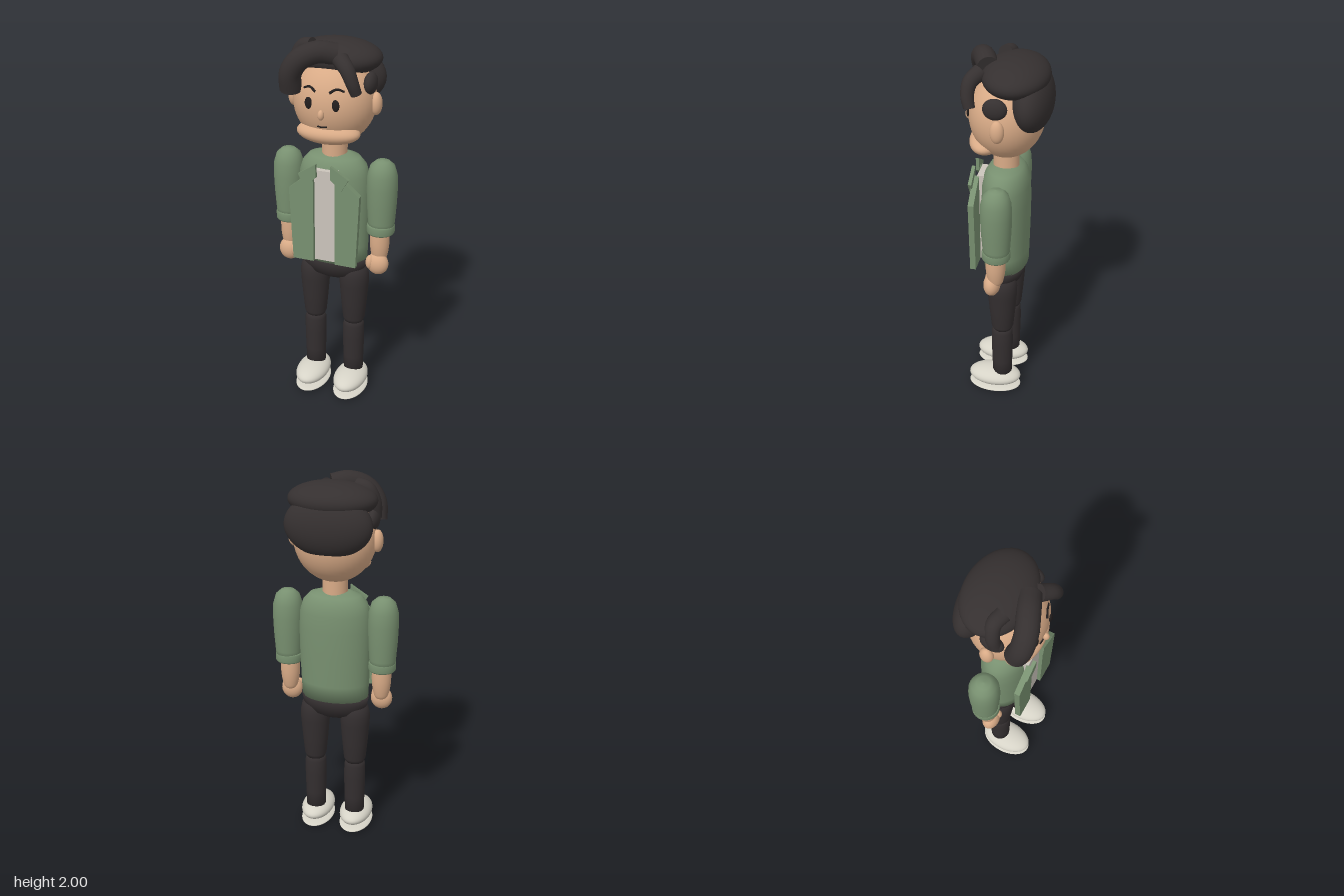
import * as THREE from 'three';

const mat = (name, color) => new THREE.MeshStandardMaterial({ name, color });

export function createModel() {
  const root = new THREE.Group();
  root.name = 'standingFigure';
  const skin = mat('skin', 0xd9ab87);
  const hair = mat('darkHair', 0x353030);
  const green = mat('greenJacket', 0x789070);
  const pants = mat('darkTrousers', 0x332e2f);
  const shirt = mat('paleShirt', 0xcbc4bb);
  const shoe = mat('offWhiteShoe', 0xd6d3c7);
  const ink = mat('faceInk', 0x221e1e);

  const add = (name, geo, material, pos = [0, 0, 0], scale = [1, 1, 1]) => {
    const m = new THREE.Mesh(geo, material);
    m.name = name;
    m.position.set(...pos);
    m.scale.set(...scale);
    root.add(m);
    return m;
  };
  const ball = new THREE.SphereGeometry(1, 40, 28);
  const blob = (name, material, pos, radii) => add(name, ball, material, pos, radii);
  // Smooth turned part; points run from bottom to top as [radius, y]
  const turned = (pts, smooth = true) => {
    let v = pts.map(p => new THREE.Vector2(...p));
    if (smooth) v = new THREE.SplineCurve(v).getPoints(36).map(p => new THREE.Vector2(Math.max(p.x, 0), p.y));
    return new THREE.LatheGeometry(v, 40);
  };
  // Capped tube along a curve, radius tapering from r0 to r1
  const strand = (name, material, pts, r0, r1, steps = 28, sides = 16) => {
    const curve = new THREE.CatmullRomCurve3(pts.map(p => new THREE.Vector3(...p)));
    const frames = curve.computeFrenetFrames(steps);
    const pos = [], idx = [];
    const corner = (i, j) => {
      const a = j / sides * Math.PI * 2, r = r0 + (r1 - r0) * i / steps;
      return curve.getPointAt(i / steps)
        .addScaledVector(frames.normals[i], Math.cos(a) * r)
        .addScaledVector(frames.binormals[i], Math.sin(a) * r);
    };
    for (let i = 0; i <= steps; i++) for (let j = 0; j < sides; j++) pos.push(...corner(i, j).toArray());
    for (let i = 0; i < steps; i++) for (let j = 0; j < sides; j++) {
      const k = (j + 1) % sides, a = i * sides + j, b = i * sides + k;
      idx.push(a, b, a + sides, b, b + sides, a + sides);
    }
    // Flat end caps with their own vertices
    for (const i of [0, steps]) {
      const base = pos.length / 3;
      for (let j = 0; j < sides; j++) pos.push(...corner(i, j).toArray());
      for (let j = 1; j < sides - 1; j++) {
        if (i) idx.push(base, base + j, base + j + 1);
        else idx.push(base, base + j + 1, base + j);
      }
    }
    const g = new THREE.BufferGeometry();
    g.setAttribute('position', new THREE.Float32BufferAttribute(pos, 3));
    g.setIndex(idx);
    g.computeVertexNormals();
    return add(name, g, material);
  };
  const plate = (name, material, pts, z, depth) => add(name, new THREE.ExtrudeGeometry(
    new THREE.Shape(pts.map(p => new THREE.Vector2(...p))), { depth, bevelEnabled: false }), material, [0, 0, z]);

  // Head
  const headR = [0.212, 0.225, 0.19], headY = 1.682;
  const faceZ = (x, y) => headR[2] * Math.sqrt(1 - (x / headR[0]) ** 2 - ((y - headY) / headR[1]) ** 2);
  blob('head', skin, [0, headY, 0.005], headR);
  blob('jaw', skin, [0, 1.537, 0.1], [0.165, 0.058, 0.092]);
  blob('nose', skin, [0, 1.655, 0.2], [0.016, 0.026, 0.018]);
  strand('mouth', ink, [[-0.024, 1.592, 0.184], [0, 1.589, 0.185], [0.024, 1.592, 0.184]], 0.004, 0.004, 8, 8);
  add('neck', new THREE.CylinderGeometry(0.066, 0.066, 0.12, 32), skin, [0, 1.43, 0.01]);

  // Hair: crown, back mass and swept strands
  blob('hairCrown', hair, [0, 1.888, -0.04], [0.226, 0.09, 0.165]);
  blob('hairBack', hair, [0, 1.775, -0.122], [0.224, 0.157, 0.103]).rotation.x = 0.08;
  strand('fringe', hair, [[0.04, 1.93, 0.09], [-0.04, 1.943, 0.125], [-0.12, 1.91, 0.158],
    [-0.17, 1.84, 0.162], [-0.18, 1.75, 0.14]], 0.054, 0.056);
  strand('frontLock', hair, [[0.07, 1.915, 0.12], [0.118, 1.88, 0.16], [0.147, 1.82, 0.168],
    [0.163, 1.765, 0.155]], 0.042, 0.028);
  strand('sideLock', hair, [[-0.105, 1.945, 0.035], [-0.16, 1.935, 0.02], [-0.195, 1.87, 0.03],
    [-0.2, 1.79, 0.045]], 0.04, 0.03);

  // Jacket body and shirt front
  add('jacketBody', turned([[0, 0.812], [0.18, 0.812], [0.184, 0.9], [0.19, 1.05], [0.193, 1.2],
    [0.187, 1.29], [0.17, 1.345], [0.135, 1.385], [0.08, 1.402], [0, 1.404]], false),
    green, [0, 0, 0.01], [1, 1, 0.65]);
  add('shirtFront', new THREE.BoxGeometry(0.124, 0.505, 0.05), shirt, [0, 1.09, 0.125]);
  // Hips
  add('hips', turned([[0, 0.69], [0.08, 0.692], [0.145, 0.72], [0.175, 0.765], [0.186, 0.818], [0, 0.82]], false),
    pants, [0, 0, 0.01], [1, 1, 0.585]);

  for (const s of [1, -1]) {
    const side = s > 0 ? 'left' : 'right';
    const flip = pts => pts.map(([x, y]) => [x * s, y]);

    // Face details
    blob(side + 'Eye', ink, [s * 0.07, 1.705, faceZ(0.07, 1.705) + 0.006], [0.019, 0.03, 0.009]);
    strand(side + 'Eyebrow', ink, [[0.036, 1.764], [0.07, 1.781], [0.104, 1.77]]
      .map(([x, y]) => [s * x, y, faceZ(x, y) + 0.006]), 0.007, 0.005, 12, 8);
    blob(side + 'Ear', skin, [s * 0.218, 1.68, 0.01], [0.029, 0.058, 0.035]);
    blob(side + 'Sideburn', hair, [s * 0.192, 1.785, 0.025], [0.032, 0.054, 0.06]);

    // Open jacket panel and collar flap
    plate(side + 'JacketPanel', green, flip([[0.058, 1.34], [0.125, 1.29], [0.19, 1.235], [0.172, 0.835], [0.058, 0.835]]), 0.14, 0.03);
    plate(side + 'Collar', green, flip([[0.04, 1.385], [0.135, 1.325], [0.1, 1.262], [0.038, 1.315]]), 0.163, 0.018);

    // Arm
    add(side + 'Sleeve', turned([[0, 1.0], [0.066, 1.0], [0.07, 1.05], [0.077, 1.15], [0.08, 1.24],
      [0.077, 1.31], [0.062, 1.36], [0.035, 1.384], [0, 1.39]], false), green, [s * 0.257, 0, 0.008]);
    add(side + 'Cuff', turned([[0, 0.985], [0.068, 0.985], [0.073, 0.993], [0.073, 1.027], [0.068, 1.035], [0, 1.035]], false),
      green, [s * 0.255, 0, 0.01]);
    add(side + 'Forearm', turned([[0, 0.815], [0.03, 0.825], [0.043, 0.86], [0.051, 0.92], [0.05, 0.99], [0.04, 1.01]]),
      skin, [s * 0.252, 0, 0.014]);
    blob(side + 'Hand', skin, [s * 0.25, 0.812, 0.035], [0.058, 0.062, 0.044]);
    blob(side + 'Thumb', skin, [s * 0.213, 0.822, 0.055], [0.022, 0.04, 0.024]);

    // Leg
    add(side + 'Thigh', turned([[0, 0.42], [0.05, 0.422], [0.06, 0.445], [0.07, 0.55], [0.079, 0.66],
      [0.08, 0.71], [0.07, 0.755], [0.04, 0.775], [0, 0.78]], false), pants, [s * 0.112, 0, 0.01]);
    add(side + 'Shin', turned([[0, 0.09], [0.053, 0.09], [0.056, 0.2], [0.059, 0.32], [0.058, 0.4],
      [0.048, 0.428], [0, 0.435]], false), pants, [s * 0.112, 0, 0.012]);
    // Shoe and its thin sole
    blob(side + 'Shoe', shoe, [s * 0.112, 0.075, 0.055], [0.089, 0.052, 0.147]);
    blob(side + 'Sole', shoe, [s * 0.112, 0.015, 0.055], [0.09, 0.015, 0.147]);
  }
  return root;
}
